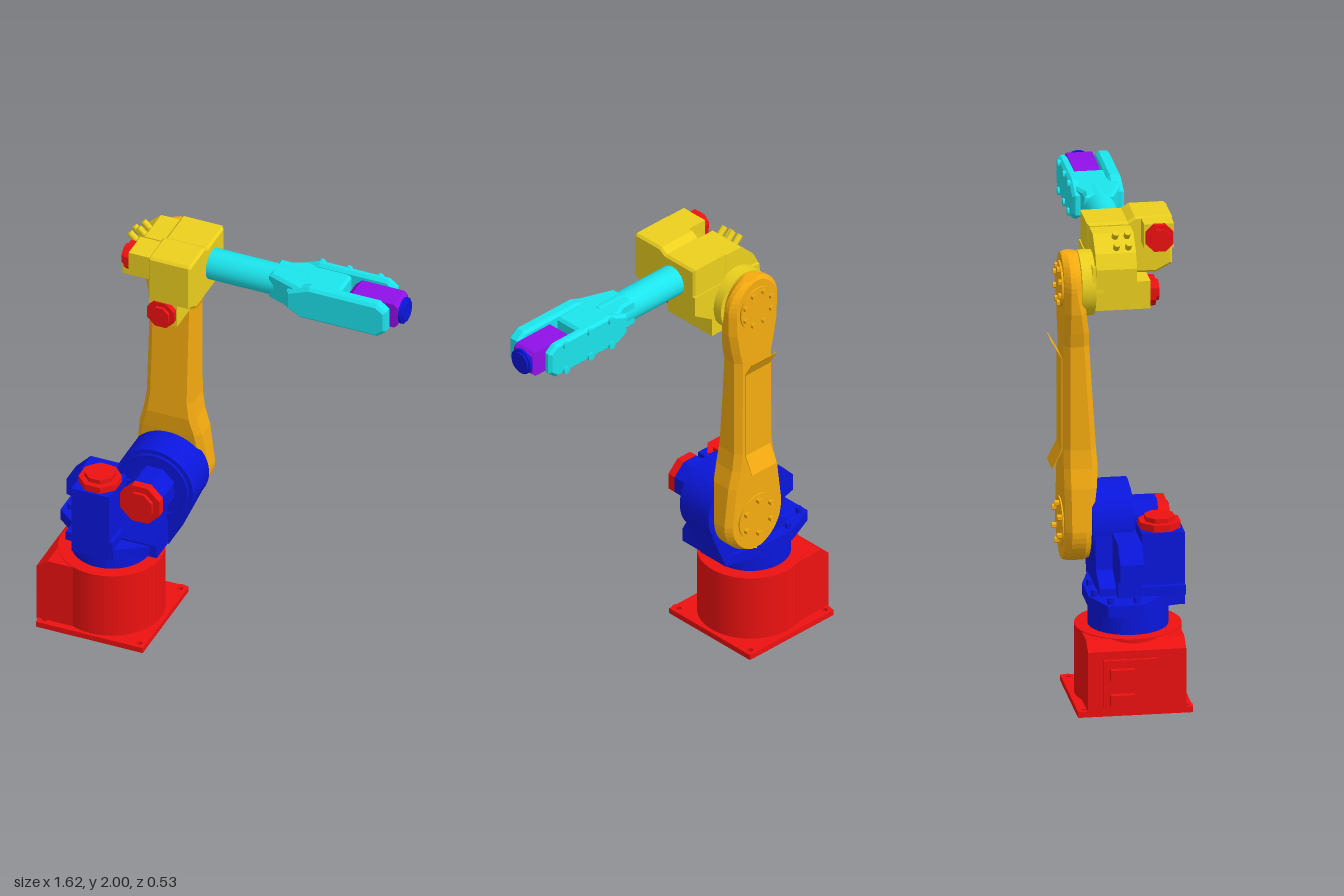
import * as THREE from 'three';

const RED = 0xee1111, BLUE = 0x0a16dc, ORANGE = 0xf5ab10, YELLOW = 0xecd01e, CYAN = 0x1ce4ec, PURPLE = 0x9010e8;

export function createModel() {
  const model = new THREE.Group();
  let group;
  const mats = {};
  const material = (color, flat) => (mats[color + '-' + flat] ??=
    new THREE.MeshStandardMaterial({ color, flatShading: flat, side: THREE.DoubleSide }));
  const part = (name) => { group = new THREE.Group(); group.name = name; model.add(group); };
  const add = (name, geo, color, flat = true) => {
    const m = new THREE.Mesh(geo, material(color, flat));
    m.name = name;
    group.add(m);
    return m;
  };
  const box = (name, color, [x0, x1], [y0, y1], [z0, z1]) => add(name,
    new THREE.BoxGeometry(x1 - x0, y1 - y0, z1 - z0).translate((x0 + x1) / 2, (y0 + y1) / 2, (z0 + z1) / 2), color);
  // Cylinder running from 'from' to 'to' along an axis; a and b are the two other coordinates in x, y, z order
  const rod = (name, color, axis, [a, b], from, to, r, sides = 40, r2 = r) => {
    const g = new THREE.CylinderGeometry(r2, r, to - from, sides);
    if (sides === 8) g.rotateY(Math.PI / 8);
    const mid = (from + to) / 2;
    if (axis === 'x') g.rotateZ(-Math.PI / 2).translate(mid, a, b);
    if (axis === 'y') g.translate(a, mid, b);
    if (axis === 'z') g.rotateX(Math.PI / 2).translate(a, b, mid);
    return add(name, g, color, sides <= 8);
  };
  const shapeOf = (pts) => new THREE.Shape(pts.map(([x, y]) => new THREE.Vector2(x, y)));
  // Prism of an outline: along z the points are (x, y), along y (x, z), along x (z, y)
  const prism = (name, color, axis, shape, from, to, bevel = 0) => {
    if (Array.isArray(shape)) shape = shapeOf(shape);
    const g = new THREE.ExtrudeGeometry(shape, {
      depth: to - from - 2 * bevel, curveSegments: 20, bevelEnabled: bevel > 0,
      bevelSize: bevel, bevelOffset: -bevel, bevelThickness: bevel, bevelSegments: 1 });
    if (axis === 'z') g.translate(0, 0, from + bevel);
    if (axis === 'y') g.rotateX(Math.PI / 2).translate(0, to - bevel, 0);
    if (axis === 'x') g.rotateY(-Math.PI / 2).translate(to - bevel, 0, 0);
    return add(name, g, color);
  };
  const boltRing = (color, cx, cy, r, n, z0, z1) => {
    for (let i = 0; i < n; i++) {
      const t = (i + 0.5) / n * Math.PI * 2;
      rod('bolt', color, 'z', [cx + r * Math.cos(t), cy + r * Math.sin(t)], z0, z1, 0.013, 6);
    }
  };

  // Base: drilled plate, round pedestal, connector housing
  part('base');
  const BX = -0.52, BZ = 0.03;
  const plate = shapeOf([[-0.76, -0.215], [-0.28, -0.215], [-0.28, 0.265], [-0.76, 0.265]]);
  for (const sx of [-1, 1]) for (const sz of [-1, 1]) {
    const x = BX + sx * 0.213, z = 0.025 + sz * 0.213;
    plate.holes.push(new THREE.Path().absarc(x, z, 0.013, 0, Math.PI * 2));
    const pad = new THREE.RingGeometry(0.014, 0.03, 20).rotateX(-Math.PI / 2).translate(x, 0.027, z);
    add('boltPad', pad, RED);
  }
  prism('basePlate', RED, 'y', plate, 0, 0.025);
  rod('pedestal', RED, 'y', [BX, BZ], 0.02, 0.325, 0.222, 64);
  prism('connectorHousing', RED, 'z',
    [[-0.52, 0.02], [-0.77, 0.02], [-0.77, 0.285], [-0.72, 0.322], [-0.52, 0.322]], -0.175, 0.235);
  box('connectorPanel', RED, [-0.785, -0.76], [0.04, 0.25], [-0.11, 0.12]);
  for (const y of [0.08, 0.19]) box('connector', RED, [-0.81, -0.78], [y - 0.025, y + 0.025], [-0.085, 0.015]);

  // Turning column with deck and cable box
  part('turntable');
  rod('turntableRing', BLUE, 'y', [BX, BZ], 0.325, 0.42, 0.167, 56);
  prism('deck', BLUE, 'y', [[-0.735, -0.085], [-0.59, -0.145], [-0.42, -0.145], [-0.27, -0.1], [-0.27, 0.15],
    [-0.42, 0.25], [-0.6, 0.25], [-0.62, 0.16], [-0.735, 0.065]], 0.42, 0.47);
  for (const [x, z] of [[-0.7, -0.07], [-0.7, 0.04], [-0.59, -0.12], [-0.45, -0.12]])
    rod('deckBolt', BLUE, 'y', [x, z], 0.47, 0.495, 0.014, 6);
  prism('cableBox', BLUE, 'z', [[-0.64, 0.47], [-0.64, 0.54], [-0.706, 0.56], [-0.706, 0.635], [-0.64, 0.705],
    [-0.42, 0.705], [-0.42, 0.47]], -0.03, 0.07);
  box('waistMotorFlange', BLUE, [-0.63, -0.42], [0.47, 0.51], [0.06, 0.255]);
  box('waistMotorBody', BLUE, [-0.605, -0.435], [0.42, 0.735], [0.075, 0.255]);
  rod('waistMotorCap', RED, 'y', [-0.515, 0.162], 0.735, 0.765, 0.09, 8);
  rod('waistMotorTop', RED, 'y', [-0.515, 0.162], 0.765, 0.785, 0.065, 8);

  // Shoulder: round housing on a slanted bracket, with its motor
  part('shoulder');
  const SX = -0.315, SY = 0.708;
  const bracket = new THREE.Shape();
  bracket.moveTo(-0.6, 0.42).lineTo(-0.255, 0.42).lineTo(SX + 0.165, 0.66);
  bracket.absarc(SX, SY, 0.17, -0.28, Math.PI, false);
  bracket.lineTo(-0.5, 0.55).lineTo(-0.6, 0.5);
  prism('shoulderBracket', BLUE, 'z', bracket, -0.1, 0.05);
  rod('shoulderHousing', BLUE, 'z', [SX, SY], -0.11, 0.06, 0.172, 56);
  add('shoulderRim', new THREE.TorusGeometry(0.145, 0.008, 8, 48).translate(SX, SY, 0.06), BLUE, false);
  prism('gusset', BLUE, 'x', [[0.04, 0.42], [0.165, 0.42], [0.165, 0.48], [0.06, 0.68], [0.04, 0.68]], -0.45, -0.26);
  rod('shoulderMotorBody', BLUE, 'z', [SX, SY], 0.05, 0.178, 0.095, 8);
  rod('shoulderMotorCap', RED, 'z', [SX, SY], 0.178, 0.215, 0.095, 8);
  rod('shoulderMotorEnd', RED, 'z', [SX, SY], 0.215, 0.23, 0.065, 8);

  // Lower arm: bevelled cross-sections stacked along y, round at both ends
  part('lowerArm');
  const EY = 1.745;
  const ramp = (y, table) => {
    let i = 0;
    while (i < table.length - 2 && y > table[i + 1][0]) i++;
    const [[a, p], [b, q]] = [table[i], table[i + 1]];
    return p + (q - p) * THREE.MathUtils.clamp((y - a) / (b - a), 0, 1);
  };
  const frontZ = [[0.7, -0.11], [0.95, -0.077], [1.45, -0.11], [1.62, -0.118], [1.7, -0.145], [1.88, -0.15]];
  const rows = [];
  for (let i = 0; i <= 10; i++) {
    const t = i / 10 * Math.PI / 2;
    rows.push([SY - 0.163 * Math.cos(t), 0.163 * Math.sin(t)]);
  }
  rows.push([0.89, 0.14], [0.97, 0.118], [1.05, 0.107], [1.3, 0.106], [1.5, 0.106], [1.56, 0.12], [1.65, 0.137]);
  for (let i = 0; i <= 10; i++) {
    const t = i / 10 * Math.PI / 2;
    rows.push([EY + 0.14 * Math.sin(t), 0.14 * Math.cos(t)]);
  }
  const pos = [], index = [];
  rows.forEach(([y, w], r) => {
    const c = 0.025, n = Math.max(w - c, 0), zb = -0.22;
    const zf = ramp(y, frontZ), cut = c * Math.min(1, w / 0.03);
    const end = w < 0.03 ? 0.012 : 0;
    for (const [x, z] of [[-n, zf - end], [n, zf - end], [w, zf - cut], [w, zb + cut], [n, zb + end],
      [-n, zb + end], [-w, zb + cut], [-w, zf - cut]]) pos.push(SX + x, y, z);
    if (r) for (let k = 0; k < 8; k++) {
      const a = (r - 1) * 8 + k, b = (r - 1) * 8 + (k + 1) % 8;
      index.push(a, b, b + 8, a, b + 8, a + 8);
    }
  });
  const armGeo = new THREE.BufferGeometry();
  armGeo.setAttribute('position', new THREE.Float32BufferAttribute(pos, 3));
  armGeo.setIndex(index);
  armGeo.computeVertexNormals();
  add('armBeam', armGeo, ORANGE);
  rod('lowerPivotCover', ORANGE, 'z', [SX, SY], -0.226, -0.21, 0.105);
  rod('upperPivotCover', ORANGE, 'z', [SX, EY], -0.228, -0.21, 0.098);
  boltRing(ORANGE, SX, SY, 0.08, 6, -0.245, -0.22);
  boltRing(ORANGE, SX, EY, 0.078, 8, -0.24, -0.22);
  // Thin back cover with flared ends
  prism('backCover', ORANGE, 'x', [[-0.265, 0.96], [-0.226, 1.04], [-0.226, 1.44], [-0.265, 1.51],
    [-0.262, 1.51], [-0.222, 1.44], [-0.222, 1.04], [-0.262, 0.96]], SX - 0.07, SX + 0.07);

  // Elbow: pivot hub, gear housing and two motors
  part('elbow');
  rod('elbowHub', YELLOW, 'z', [SX, EY], -0.148, -0.09, 0.137, 56);
  prism('hubWeb', YELLOW, 'z', [[-0.45, 1.74], [-0.18, 1.69], [-0.07, 1.76], [-0.07, 1.85], [-0.44, 1.85]], -0.105, -0.06);
  prism('rearHousing', YELLOW, 'z', [[-0.45, 1.755], [-0.26, 1.755], [-0.25, 1.965], [-0.35, 1.965], [-0.42, 1.9],
    [-0.45, 1.84]], -0.09, 0.08);
  prism('frontHousing', YELLOW, 'x', [[-0.1, 1.755], [0.19, 1.755], [0.257, 1.79], [0.257, 1.99], [0.247, 2.0],
    [0.1, 2.0], [0.07, 1.98], [-0.1, 1.98]], -0.262, -0.07, 0.01);
  box('rollMotorBody', YELLOW, [-0.35, -0.2], [1.89, 1.995], [0.125, 0.25]);
  rod('rollMotorCap', RED, 'x', [1.94, 0.187], -0.375, -0.35, 0.062, 8);
  rod('rollMotorEnd', RED, 'x', [1.94, 0.187], -0.392, -0.375, 0.045, 8);
  box('elbowMotorBody', YELLOW, [-0.297, -0.172], [1.61, 1.73], [-0.1, 0.16]);
  rod('elbowMotorCap', RED, 'z', [-0.235, 1.67], 0.16, 0.185, 0.065, 8);
  rod('elbowMotorEnd', RED, 'z', [-0.235, 1.67], 0.185, 0.2, 0.045, 8);
  // Angled cable plugs
  for (const z of [0.0, 0.05]) for (const [x, y] of [[-0.41, 1.925], [-0.37, 1.96]]) {
    const plug = rod('cablePlug', YELLOW, 'y', [0, 0], -0.03, 0.03, 0.014, 12);
    plug.position.set(x, y, z);
    plug.rotation.z = 0.8;
  }

  // Forearm: tube, flared fork and two prongs
  part('forearm');
  const FY = 1.875, FZ = 0.027;
  rod('forearmTube', CYAN, 'x', [FY, FZ], -0.08, 0.36, 0.067, 40);
  prism('forkRoot', CYAN, 'y', [[0.21, 0.085], [0.37, 0.143], [0.53, 0.143], [0.53, -0.06], [0.32, -0.06],
    [0.27, -0.036], [0.21, -0.036]], 1.812, 1.94, 0.012);
  const prong = (name, x0, x1, z0, z1) => prism(name, CYAN, 'z', [[x0, 1.83], [x0 + 0.06, 1.797], [x1 - 0.04, 1.797],
    [x1, 1.83], [x1, 1.925], [x1 - 0.04, 1.955], [x0 + 0.1, 1.955], [x0, 1.915]], z0, z1, 0.012);
  prong('frontProng', 0.31, 0.757, 0.088, 0.146);
  prong('backProng', 0.28, 0.73, -0.075, -0.034);
  for (const x of [0.38, 0.5, 0.64]) for (const y of [1.815, 1.935])
    rod('coverScrew', CYAN, 'z', [x, y], -0.084, -0.07, 0.017, 12);

  // Wrist: tilting block with round tool flange
  part('wrist');
  prism('wristBlock', PURPLE, 'z', [[0.55, 1.85], [0.58, 1.82], [0.77, 1.82], [0.785, 1.835], [0.785, 1.92],
    [0.77, 1.935], [0.58, 1.935], [0.55, 1.905]], -0.028, 0.082);
  rod('wristPivot', PURPLE, 'z', [0.66, FY + 0.002], -0.04, 0.095, 0.045, 32);
  rod('wristCollar', PURPLE, 'x', [FY + 0.003, FZ], 0.78, 0.797, 0.052, 32);
  rod('toolFlange', BLUE, 'x', [FY + 0.003, FZ], 0.78, 0.808, 0.046, 32);
  rod('toolFlangeRim', BLUE, 'x', [FY + 0.003, FZ], 0.787, 0.8, 0.056, 32);

  return model;
}
